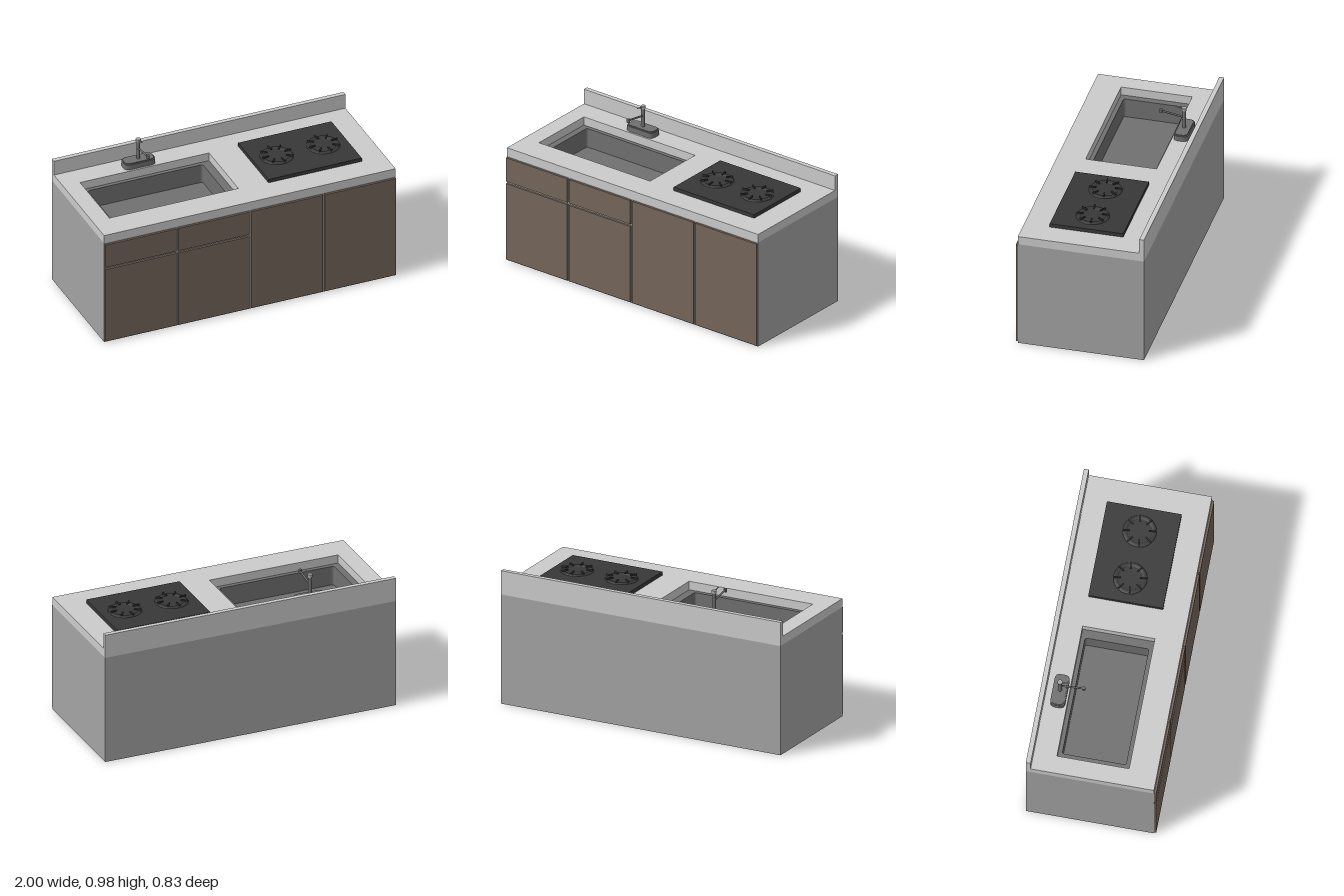
import * as THREE from 'three';

const mat = (color) => new THREE.MeshStandardMaterial({ color });
const stone = mat(0xcccccc), carcass = mat(0xa3a3a3), wood = mat(0x75665a);
const steel = mat(0x707070), black = mat(0x383838), chrome = mat(0xaaaaaa);

function add(group, name, geometry, material, x = 0, y = 0, z = 0) {
  const mesh = new THREE.Mesh(geometry, material);
  mesh.name = name;
  mesh.position.set(x, y, z);
  group.add(mesh);
  return mesh;
}

// Box given by its limits on each axis
function block(group, name, material, [x0, x1], [y0, y1], [z0, z1]) {
  return add(group, name, new THREE.BoxGeometry(x1 - x0, y1 - y0, z1 - z0), material,
    (x0 + x1) / 2, (y0 + y1) / 2, (z0 + z1) / 2);
}

// Rectangle in plan with optional rounded corners
function outline(target, [x0, x1], [z0, z1], r = 0) {
  const a = -z1, b = -z0;
  target.moveTo(x0 + r, a).lineTo(x1 - r, a);
  if (r) target.quadraticCurveTo(x1, a, x1, a + r);
  target.lineTo(x1, b - r);
  if (r) target.quadraticCurveTo(x1, b, x1 - r, b);
  target.lineTo(x0 + r, b);
  if (r) target.quadraticCurveTo(x0, b, x0, b - r);
  target.lineTo(x0, a + r);
  if (r) target.quadraticCurveTo(x0, a, x0 + r, a);
  return target;
}

// Horizontal slab raised from a plan shape
function slab(group, name, material, shape, y0, y1) {
  const geo = new THREE.ExtrudeGeometry(shape, { depth: y1 - y0, bevelEnabled: false, curveSegments: 4 });
  geo.rotateX(-Math.PI / 2);
  return add(group, name, geo, material, 0, y0, 0);
}

// Slab with a rectangular opening
function frame(group, name, material, outer, inner, y0, y1, r = 0) {
  const shape = outline(new THREE.Shape(), ...outer);
  shape.holes.push(outline(new THREE.Path(), ...inner, r));
  return slab(group, name, material, shape, y0, y1);
}

// Round rod between two points
function rod(group, name, material, from, to, radius) {
  const a = new THREE.Vector3(...from), b = new THREE.Vector3(...to);
  const mesh = add(group, name, new THREE.CylinderGeometry(radius, radius, a.distanceTo(b), 12), material);
  mesh.position.copy(a).lerp(b, 0.5);
  mesh.quaternion.setFromUnitVectors(new THREE.Vector3(0, 1, 0), b.sub(a).normalize());
  return mesh;
}

function makeBurner() {
  const burner = new THREE.Group();
  burner.name = 'burner';
  // Low ring around the flame
  const ring = [[0.078, 0], [0.082, 0.007], [0.102, 0.007], [0.107, 0]].map((p) => new THREE.Vector2(...p));
  add(burner, 'burnerRing', new THREE.LatheGeometry(ring.reverse(), 32), black);
  // Radial pan supports
  for (let i = 0; i < 8; i++) {
    const spoke = new THREE.Group();
    spoke.name = 'panSupport';
    spoke.rotation.y = i * Math.PI / 4 + 0.14;
    block(spoke, 'supportBar', black, [0.06, 0.104], [0.012, 0.021], [-0.004, 0.004]);
    block(spoke, 'supportLeg', black, [0.09, 0.1], [0, 0.014], [-0.004, 0.004]);
    burner.add(spoke);
  }
  return burner;
}

function makeFaucet() {
  const faucet = new THREE.Group();
  faucet.name = 'faucet';
  const x = -0.46, z = -0.297;
  slab(faucet, 'faucetBase', steel, outline(new THREE.Shape(), [-0.566, -0.354], [-0.345, -0.25], 0.035), 0.787, 0.822);
  slab(faucet, 'faucetBaseTop', steel, outline(new THREE.Shape(), [-0.559, -0.361], [-0.338, -0.257], 0.032), 0.822, 0.829);
  rod(faucet, 'faucetColumn', steel, [x, 0.825, z], [x, 0.955, z], 0.0125);
  rod(faucet, 'faucetCap', chrome, [x, 0.953, z], [x, 0.972, z], 0.016);
  rod(faucet, 'spout', steel, [x, 0.902, z], [x, 0.927, -0.148], 0.006);
  rod(faucet, 'spoutHead', steel, [x, 0.914, -0.146], [x, 0.937, -0.146], 0.011);
  rod(faucet, 'lever', chrome, [x, 0.964, -0.285], [x, 0.977, -0.238], 0.004);
  return faucet;
}

export function createModel() {
  const model = new THREE.Group();
  model.name = 'kitchenUnit';
  const X = [-1, 1], Z = [-0.416, 0.404];
  const opening = [[-0.885, 0], [-0.238, 0.224]];
  const basin = [[-0.842, -0.055], [-0.212, 0.196]];
  const floorY = 0.6, baseY = 0.58;

  // Cabinet body, open above for the sink
  block(model, 'cabinetBody', carcass, X, [0, baseY], Z);
  frame(model, 'cabinetUpper', carcass, [X, Z], opening, baseY, 0.73);

  // Worktop and backsplash
  frame(model, 'worktop', stone, [X, Z], opening, 0.73, 0.787);
  block(model, 'backsplash', stone, X, [0.787, 0.889], [-0.416, -0.385]);

  // Sink
  frame(model, 'sinkWalls', steel, opening, basin, floorY, 0.73, 0.015);
  block(model, 'sinkFloor', steel, opening[0], [baseY, floorY], opening[1]);

  // Drawers and doors
  for (let i = 0; i < 4; i++) {
    const x0 = -0.997 + i * 0.502, span = [x0, x0 + 0.488], depth = [0.404, 0.418];
    if (i < 2) {
      block(model, 'drawerFront', wood, span, [0.557, 0.723], depth);
      block(model, 'door', wood, span, [0.01, 0.542], depth);
    } else block(model, 'door', wood, span, [0.01, 0.723], depth);
  }

  // Hob
  block(model, 'hobPlate', black, [0.2, 0.84], [0.787, 0.812], [-0.239, 0.239]);
  for (const x of [0.36, 0.68]) {
    const burner = makeBurner();
    burner.position.set(x, 0.812, 0);
    model.add(burner);
  }

  model.add(makeFaucet());
  return model;
}
